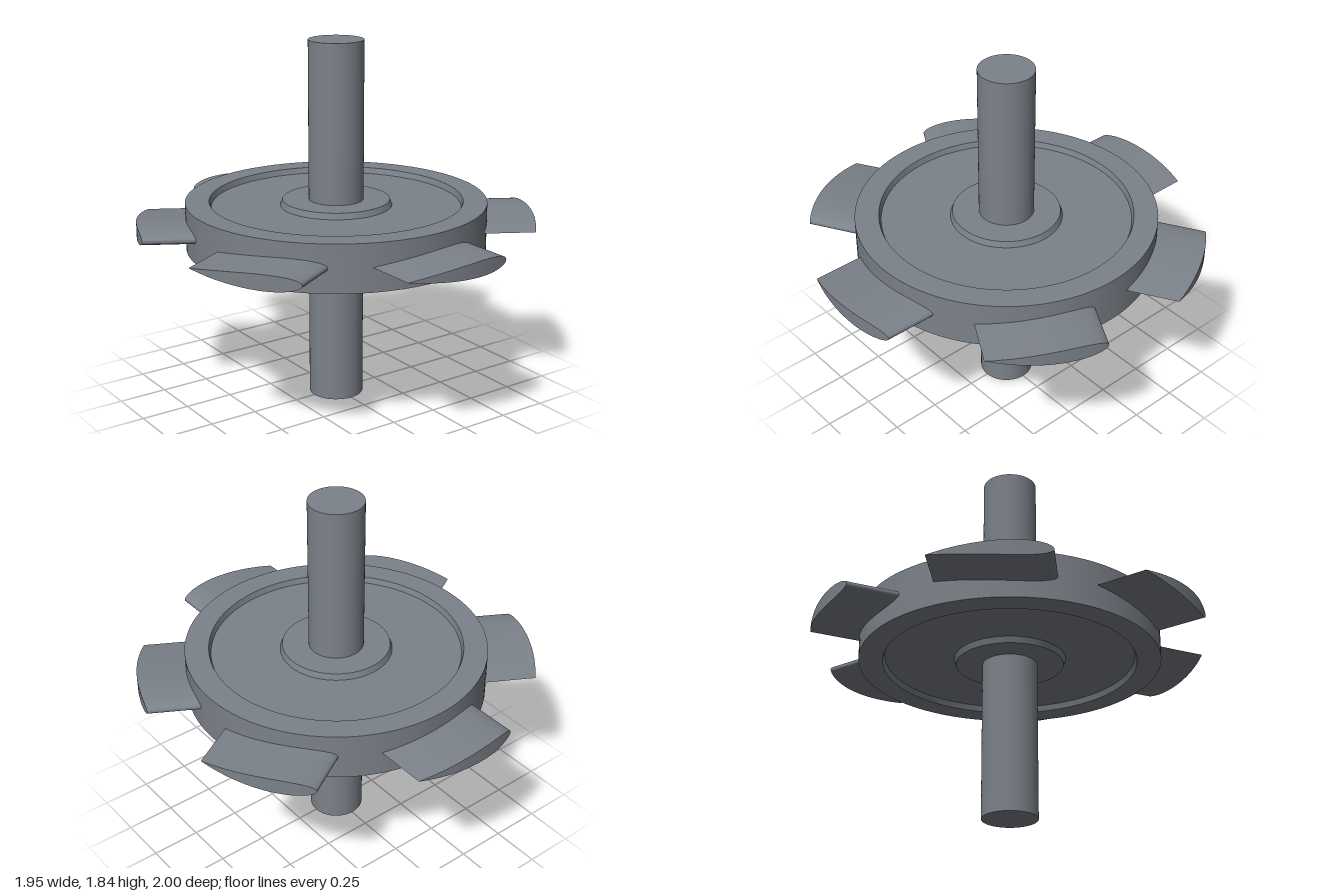
import * as THREE from 'three';
import { toCreasedNormals } from 'three/addons/utils/BufferGeometryUtils.js';

const MID_Y = 0.922;
const BLADES = 6;
const CHORD = 0.574;
const THICKNESS = 0.077;

// Half thickness of a symmetric aerofoil, t running from the rounded to the sharp edge
const halfThickness = (t) => 5 * THICKNESS *
  (0.2969 * Math.sqrt(t) - 0.126 * t - 0.3516 * t ** 2 + 0.2843 * t ** 3 - 0.1036 * t ** 4);

// Blade reaching out along +z: rounded edge at +x, tip trimmed to a radius of 1
function bladeGeometry() {
  const geometry = new THREE.BoxGeometry(1, 1, 1, 32, 1, 1);
  const p = geometry.attributes.position;
  for (let i = 0; i < p.count; i++) {
    const t = (1 - Math.cos(Math.PI * (0.5 - p.getX(i)))) / 2;
    const x = CHORD * (0.5 - t);
    const z = p.getZ(i) > 0 ? Math.sqrt(1 - x * x) : 0.6;
    p.setXYZ(i, x, Math.sign(p.getY(i)) * halfThickness(t), z);
  }
  return toCreasedNormals(geometry, 0.7);
}

export function createModel() {
  const group = new THREE.Group();
  const material = new THREE.MeshStandardMaterial({ color: 0x7c828a });
  const add = (geometry, name, y) => {
    const mesh = new THREE.Mesh(geometry, material);
    mesh.name = name;
    mesh.position.y = y;
    group.add(mesh);
    return mesh;
  };

  // Shaft through the middle
  add(new THREE.CylinderGeometry(0.138, 0.138, 1.843, 64), 'shaft', MID_Y);

  // Disc with a raised rim and hub on both faces, slightly drafted recess walls
  const half = [[0.1, 0.119], [0.27, 0.119], [0.281, 0.089], [0.627, 0.089], [0.637, 0.119], [0.757, 0.119]];
  const profile = [
    ...half.map(([r, y]) => new THREE.Vector2(r, -y)),
    ...half.map(([r, y]) => new THREE.Vector2(r, y)).reverse(),
  ];
  add(toCreasedNormals(new THREE.LatheGeometry(profile, 128), 0.5), 'disc', MID_Y);

  // Ring of blades
  const blade = bladeGeometry();
  for (let i = 0; i < BLADES; i++) {
    add(blade, `blade${i + 1}`, MID_Y + 0.002).rotation.y = (i * 2 * Math.PI) / BLADES;
  }
  return group;
}
